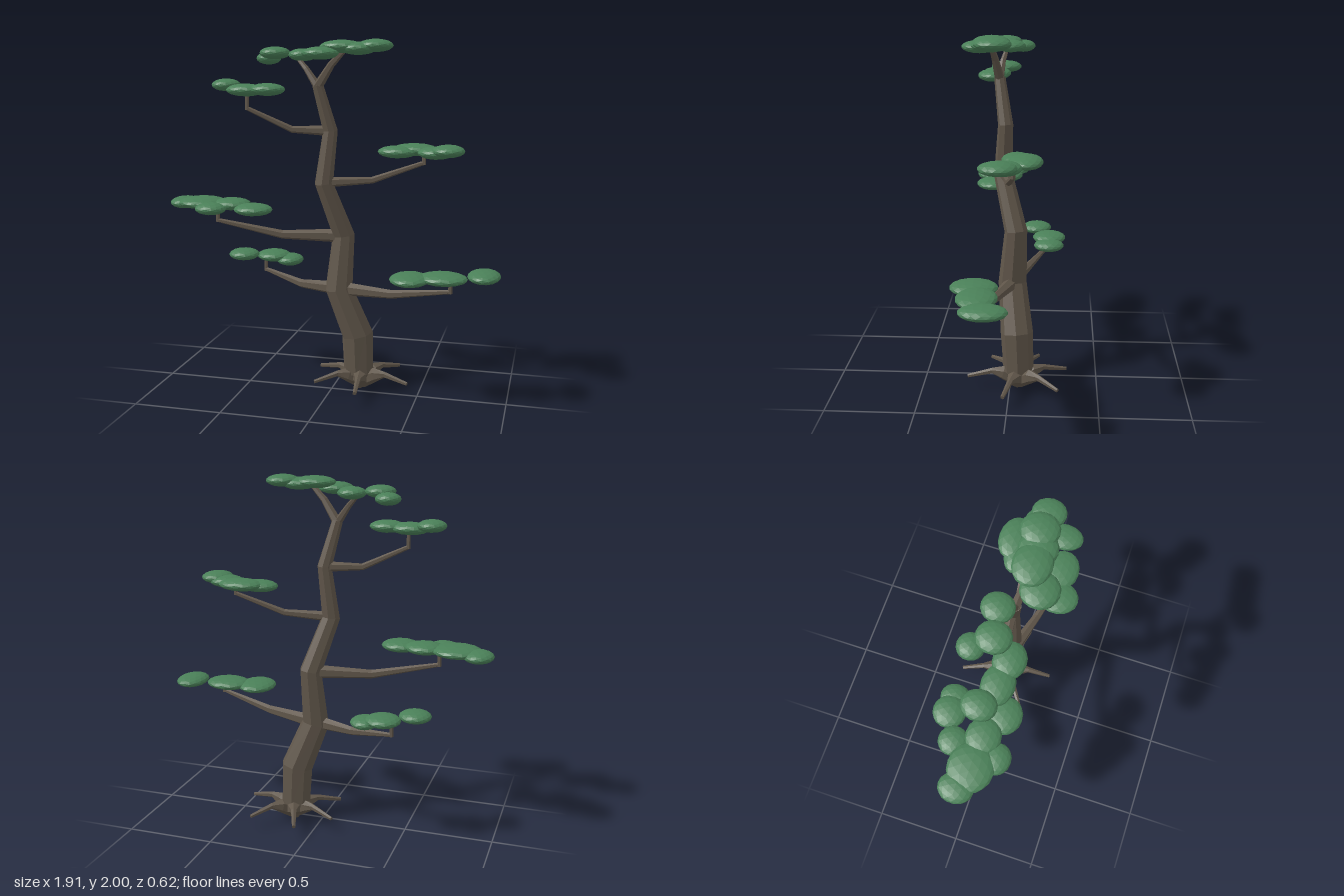
import * as THREE from 'three';

const wood = new THREE.MeshStandardMaterial({ color: 0x60564a, flatShading: true });
const leaf = new THREE.MeshStandardMaterial({ color: 0x4a8058, flatShading: true });

// Faceted limb with closed ends; each point is [x, y, z, radius]
function limb(name, points, sides) {
  const pos = [], index = [];
  const p = points.map(a => new THREE.Vector3(a[0], a[1], a[2]));
  const ref = new THREE.Vector3(0, 0, 1);
  const last = p.length - 1;
  p.forEach((c, i) => {
    const t = new THREE.Vector3();
    if (i > 0) t.add(c.clone().sub(p[i - 1]).normalize());
    if (i < last) t.add(p[i + 1].clone().sub(c).normalize());
    t.normalize();
    const u = ref.clone().cross(t).normalize();
    const v = t.clone().cross(u);
    for (let k = 0; k < sides; k++) {
      const a = k / sides * Math.PI * 2, r = points[i][3];
      const q = c.clone().addScaledVector(u, Math.cos(a) * r).addScaledVector(v, Math.sin(a) * r);
      pos.push(q.x, q.y, q.z);
    }
  });
  for (let i = 0; i < last; i++) {
    for (let k = 0; k < sides; k++) {
      const a = i * sides + k, b = i * sides + (k + 1) % sides;
      index.push(a, b, b + sides, a, b + sides, a + sides);
    }
  }
  const e = last * sides;
  for (let k = 1; k < sides - 1; k++) index.push(0, k + 1, k, e, e + k, e + k + 1);
  const g = new THREE.BufferGeometry();
  g.setAttribute('position', new THREE.Float32BufferAttribute(pos, 3));
  g.setIndex(index);
  g.computeVertexNormals();
  const mesh = new THREE.Mesh(g, wood);
  mesh.name = name;
  return mesh;
}

// Foliage pad made of flattened blobs; each is [x, y, z, radiusX, radiusZ]
function pad(name, blobs) {
  const group = new THREE.Group();
  group.name = name;
  const geo = new THREE.IcosahedronGeometry(1, 2);
  blobs.forEach(([x, y, z, rx, rz], i) => {
    const m = new THREE.Mesh(geo, leaf);
    m.name = 'leafClump' + (i + 1);
    m.position.set(x, y, z);
    m.scale.set(rx, 0.035, rz);
    group.add(m);
  });
  return group;
}

export function createModel() {
  const tree = new THREE.Group();
  tree.name = 'tree';

  // Winding trunk
  tree.add(limb('trunk', [
    [0.155, 0.03, -0.05, 0.05], [0.15, 0.1, -0.05, 0.086], [0.143, 0.33, -0.04, 0.092],
    [0.04, 0.6, -0.01, 0.08], [0.062, 0.91, -0.03, 0.064], [-0.033, 1.21, 0.045, 0.053],
    [0, 1.5, 0.03, 0.042], [-0.062, 1.75, 0.065, 0.031],
  ], 8));

  // Roots arching out of the base
  [15, 85, 145, 202, 250, 309].forEach((deg, i) => {
    const root = limb('root' + (i + 1), [
      [0, 0.05, 0, 0.05], [0.09, 0.095, 0, 0.04], [0.15, 0.105, 0, 0.018], [0.29, 0.075, 0, 0.011],
    ], 6);
    root.position.set(0.165, 0, -0.05);
    root.rotation.y = -THREE.MathUtils.degToRad(deg);
    tree.add(root);
  });
  tree.add(limb('taproot', [[0.16, 0.1, -0.05, 0.08], [0.155, 0.03, -0.05, 0.04], [0.15, 0, -0.05, 0.014]], 6));

  // Side branches: base, elbow, tip, and height of the upright twig
  const branches = {
    lowRight: [[0.03, 0.6, -0.01], [-0.2, 0.595, -0.08], [-0.455, 0.64, -0.19], 0.72],
    lowLeft: [[0.06, 0.6, -0.01], [0.36, 0.61, 0.08], [0.695, 0.67, 0.17], 0.73],
    midRight: [[0.05, 0.905, -0.02], [-0.28, 0.905, 0.03], [-0.65, 0.98, 0.08], 1.06],
    midLeft: [[-0.03, 1.215, 0.04], [0.23, 1.23, 0], [0.51, 1.33, -0.04], 1.4],
    highRight: [[0, 1.5, 0.03], [-0.21, 1.505, 0.06], [-0.455, 1.62, 0.1], 1.72],
  };
  for (const [name, [a, b, c, top]] of Object.entries(branches)) {
    const s = a[1] > 1 ? 0.75 : 1;
    tree.add(limb(name + 'Branch', [
      [...a, 0.04 * s], [...b, 0.025 * s], [...c, 0.012],
    ], 6));
    tree.add(limb(name + 'Twig', [[c[0], c[1] - 0.01, c[2], 0.012], [c[0], top, c[2], 0.01]], 6));
  }

  // Fork at the crown
  tree.add(limb('crownForkLeft', [
    [-0.062, 1.74, 0.065, 0.028], [0.02, 1.86, 0.085, 0.02], [0.1, 1.94, 0.1, 0.013]], 6));
  tree.add(limb('crownForkRight', [
    [-0.062, 1.74, 0.065, 0.024], [-0.13, 1.835, 0.05, 0.016], [-0.19, 1.9, 0.03, 0.011]], 6));

  // Foliage pads
  const pads = {
    lowRight: [[-0.57, 0.74, -0.13, 0.09, 0.09], [-0.41, 0.725, -0.21, 0.1, 0.1], [-0.31, 0.705, -0.21, 0.08, 0.09]],
    lowLeft: [[0.475, 0.725, 0.17, 0.11, 0.13], [0.65, 0.732, 0.14, 0.135, 0.11], [0.865, 0.745, 0.09, 0.09, 0.125]],
    midRight: [[-0.875, 1.065, 0.01, 0.085, 0.1], [-0.75, 1.075, 0.05, 0.14, 0.13], [-0.66, 1.06, 0.165, 0.09, 0.08],
      [-0.57, 1.075, 0.06, 0.11, 0.1], [-0.42, 1.06, 0.13, 0.11, 0.1]],
    midLeft: [[0.36, 1.385, -0.05, 0.11, 0.08], [0.45, 1.395, -0.1, 0.13, 0.09],
      [0.58, 1.39, 0, 0.1, 0.09], [0.65, 1.405, 0.03, 0.09, 0.1]],
    highRight: [[-0.59, 1.745, 0.06, 0.08, 0.09], [-0.46, 1.72, 0.11, 0.11, 0.085], [-0.33, 1.725, 0.125, 0.1, 0.085]],
    crownRight: [[-0.375, 1.89, -0.05, 0.07, 0.07], [-0.31, 1.92, 0.04, 0.085, 0.09], [-0.16, 1.91, 0.01, 0.08, 0.085]],
    crownLeft: [[-0.02, 1.92, 0.17, 0.1, 0.1], [0.08, 1.955, 0.1, 0.12, 0.1],
      [0.17, 1.945, 0.1, 0.1, 0.1], [0.26, 1.96, 0.08, 0.095, 0.1]],
  };
  for (const [name, blobs] of Object.entries(pads)) tree.add(pad(name + 'Foliage', blobs));

  return tree;
}
